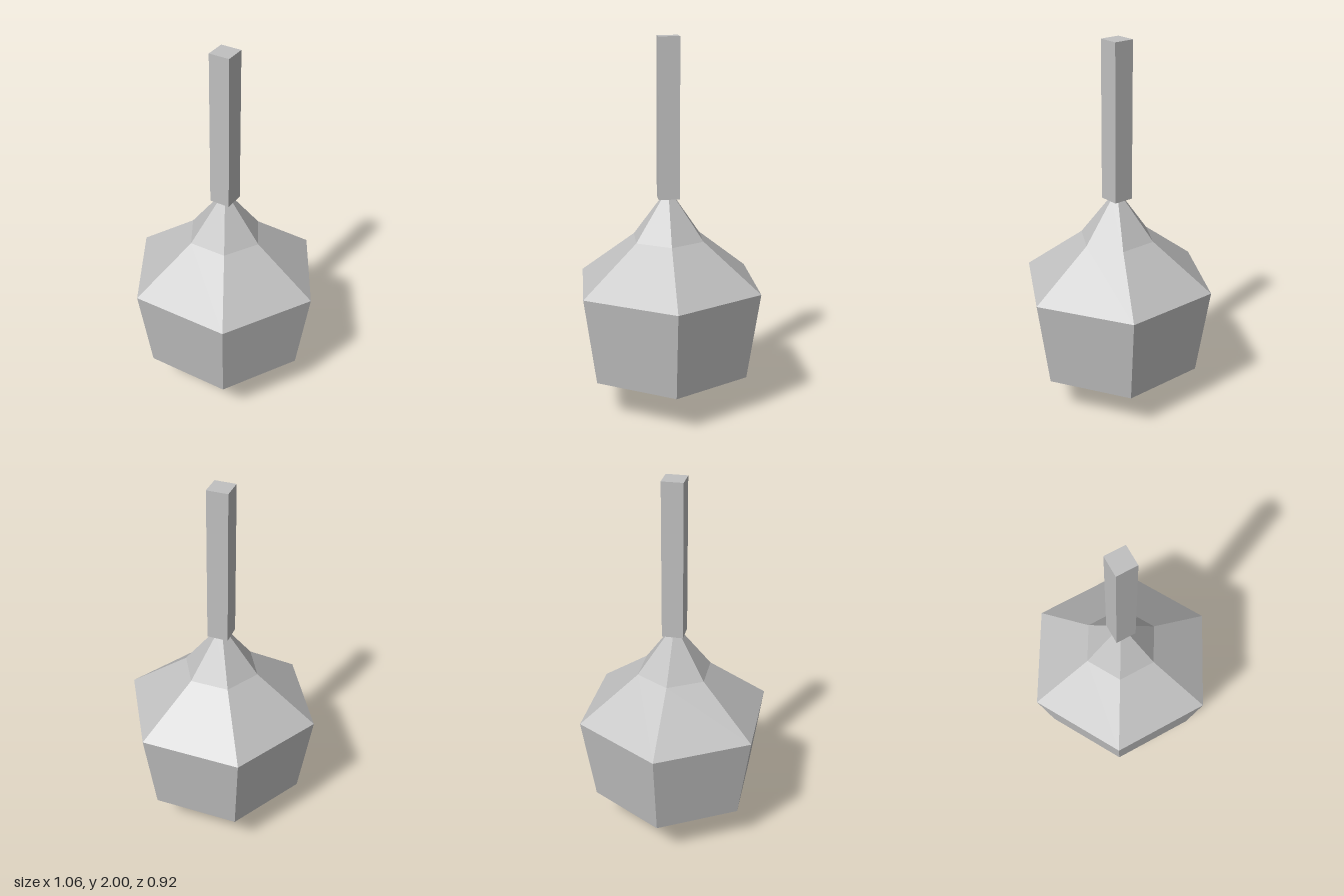
import * as THREE from 'three';

export function createModel() {
  const model = new THREE.Group();
  const grey = new THREE.MeshStandardMaterial({ color: 0xc0c0c0, flatShading: true });
  grey.name = 'grey';

  // Six-sided faceted head: pointed base, flared sides, two-step shoulder
  // running up to a tip hidden inside the handle
  const profile = [
    [0, 0.005], [0.46, 0.215], [0.532, 0.692], [0.205, 0.94], [0.035, 1.165], [0, 1.2],
  ].map(([r, y]) => new THREE.Vector2(r, y));
  const head = new THREE.Mesh(new THREE.LatheGeometry(profile, 6, Math.PI / 2), grey);
  head.name = 'head';
  model.add(head);

  // Square handle
  const bottom = 1.16, top = 2;
  const handle = new THREE.Mesh(new THREE.BoxGeometry(0.112, top - bottom, 0.112), grey);
  handle.name = 'handle';
  handle.position.y = (top + bottom) / 2;
  model.add(handle);

  return model;
}
